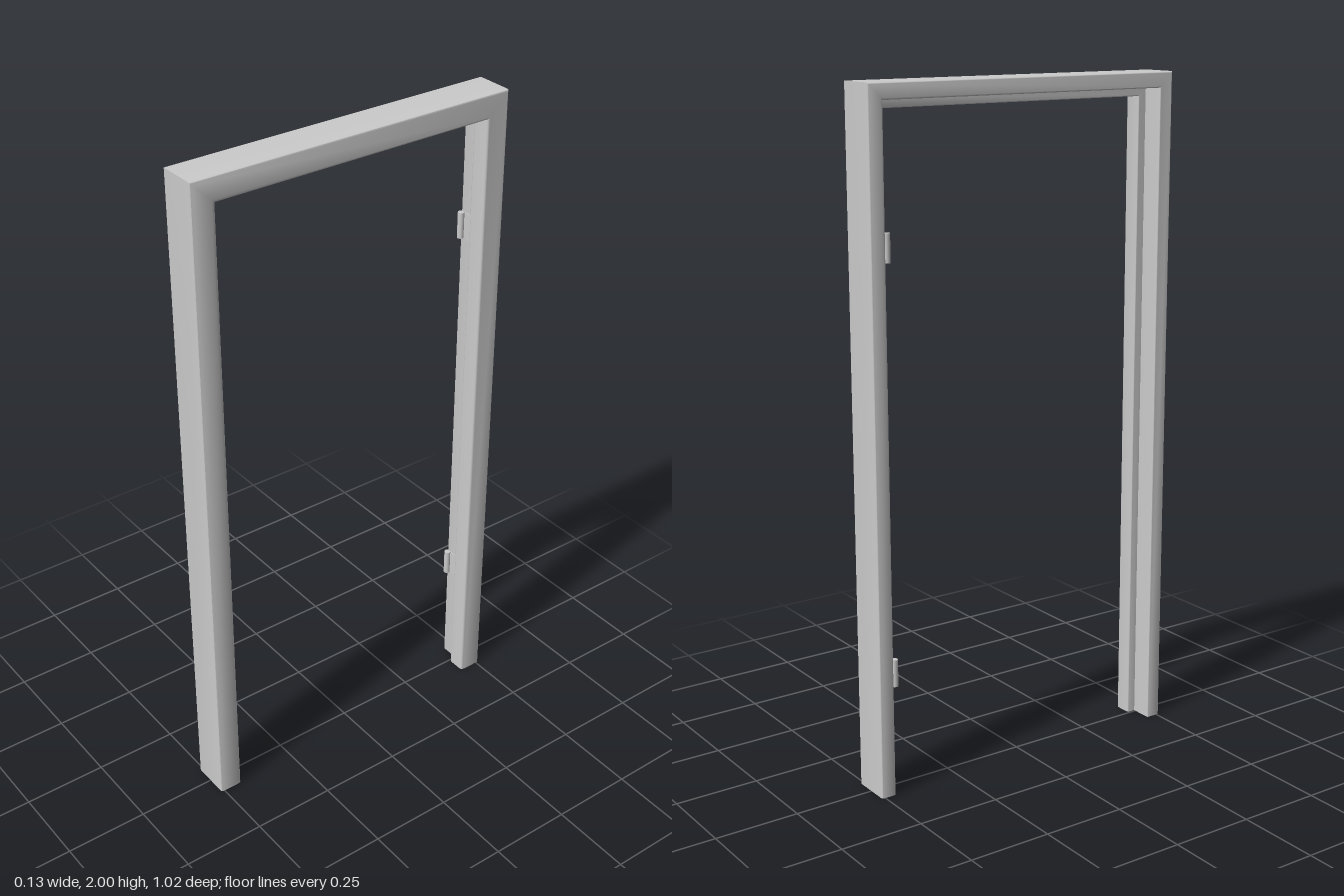
import * as THREE from 'three';
import { toCreasedNormals } from 'three/addons/utils/BufferGeometryUtils.js';

const material = new THREE.MeshStandardMaterial({ color: 0xcccccc });
const HALF = 0.51, TOP = 2;

// Rounds the corners of a polygon given as [x, inset, radius]
function roundedProfile(corners) {
  const n = corners.length, pts = [];
  corners.forEach(([x, u, r], i) => {
    const c = new THREE.Vector2(x, u);
    if (!r) { pts.push(c); return; }
    const toward = ([px, pu]) => new THREE.Vector2(px, pu).sub(c).setLength(r).add(c);
    const curve = new THREE.QuadraticBezierCurve(
      toward(corners[(i + n - 1) % n]), c, toward(corners[(i + 1) % n]));
    pts.push(...curve.getPoints(4));
  });
  return pts;
}

// Sweeps the profile up one leg, across the head and down the other, with mitred corners
function frameGeometry(profile) {
  const stations = [
    u => [HALF - u, 0], u => [HALF - u, TOP - u],
    u => [u - HALF, TOP - u], u => [u - HALF, 0],
  ];
  const n = profile.length, positions = [], index = [];
  for (const at of stations) {
    for (const p of profile) {
      const [z, y] = at(p.y);
      positions.push(p.x, y, z);
    }
  }
  for (let s = 0; s < 3; s++) {
    for (let i = 0; i < n; i++) {
      const a = s * n + i, b = s * n + (i + 1) % n;
      index.push(a, b, b + n, a, b + n, a + n);
    }
  }
  // Feet
  for (const [a, b, c] of THREE.ShapeUtils.triangulateShape(profile, [])) {
    index.push(a, c, b, a + 3 * n, b + 3 * n, c + 3 * n);
  }
  const g = new THREE.BufferGeometry();
  g.setAttribute('position', new THREE.Float32BufferAttribute(positions, 3));
  g.setIndex(index);
  return toCreasedNormals(g, 0.6);
}

function createHinge(y) {
  const hinge = new THREE.Group();
  hinge.name = 'hinge';
  const knuckle = new THREE.Mesh(new THREE.CylinderGeometry(0.01, 0.01, 0.08, 16), material);
  knuckle.name = 'hingeKnuckle';
  knuckle.position.set(-0.0535, 0, -0.457);
  const leaf = new THREE.Mesh(new THREE.BoxGeometry(0.04, 0.08, 0.005), material);
  leaf.name = 'hingeLeaf';
  leaf.position.set(-0.032, 0, -0.464);
  hinge.add(knuckle, leaf);
  hinge.position.y = y;
  return hinge;
}

export function createModel() {
  const model = new THREE.Group();
  model.name = 'doorFrame';

  // Jamb section: full-depth stop on the left, rebate for the door on the right
  const profile = roundedProfile([
    [-0.061, 0, 0.008], [0.0625, 0, 0.008],
    [0.0625, 0.072, 0.012], [0.005, 0.072, 0.006],
    [0.005, 0.046, 0], [-0.061, 0.046, 0.006],
  ]);
  const frame = new THREE.Mesh(frameGeometry(profile), material);
  frame.name = 'frame';
  model.add(frame);

  for (const y of [0.37, 1.57]) model.add(createHinge(y));
  return model;
}
